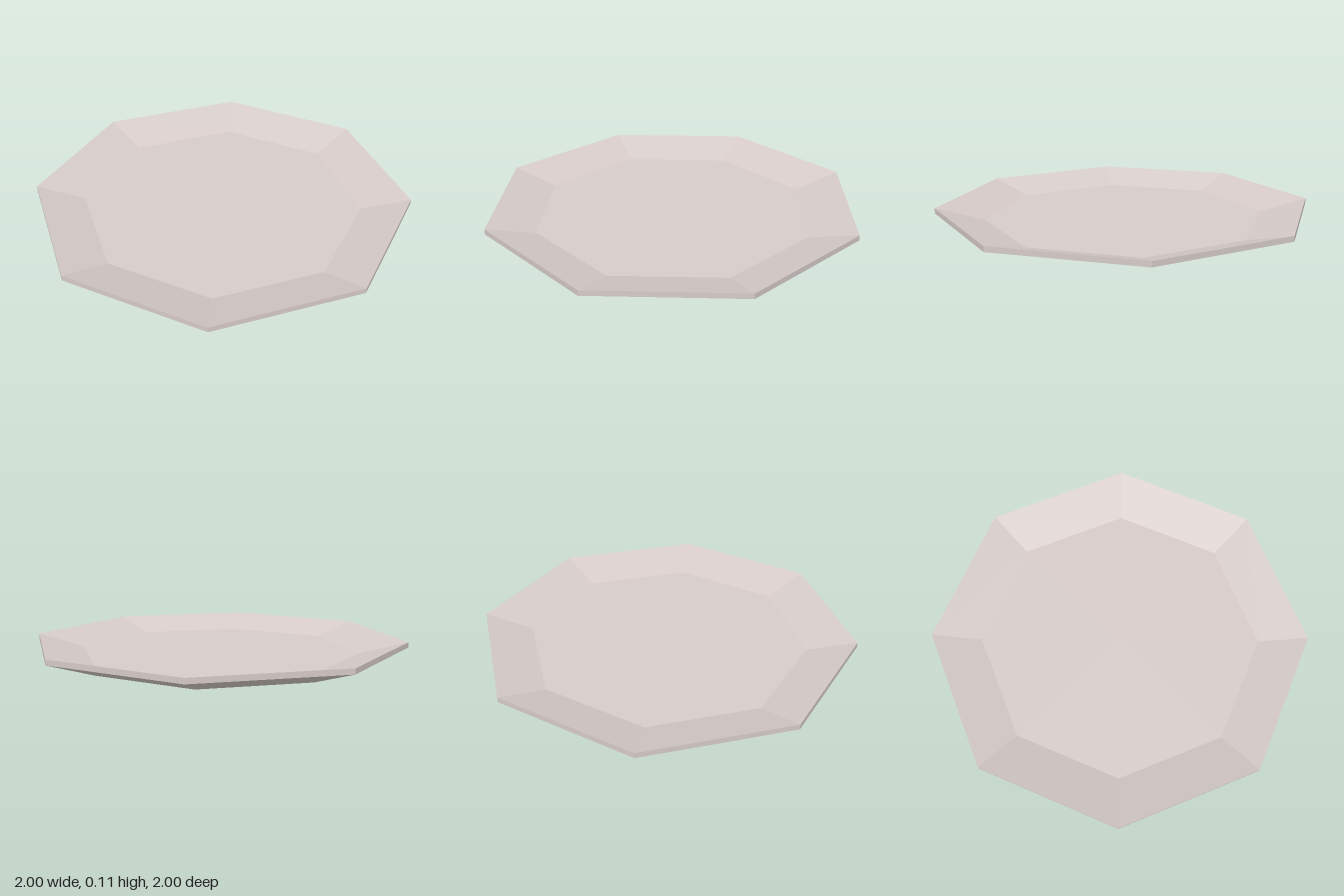
import * as THREE from 'three';

const SIDES = 8;

export function createModel() {
  const model = new THREE.Group();
  model.name = 'plate';

  const ceramic = new THREE.MeshStandardMaterial({ color: 0xd6cbc8, flatShading: true });
  ceramic.name = 'pale ceramic';

  // Closed cross-section: underside, sloping outer wall, rim edge, inner wall, floor
  const profile = [
    [0, 0],
    [0.745, 0],
    [1, 0.082],
    [1, 0.11],
    [0.745, 0.042],
    [0, 0.042],
  ].map(([r, y]) => new THREE.Vector2(r, y));

  // Eight-sided dish with a corner on each axis, faceted
  const geometry = new THREE.LatheGeometry(profile, SIDES).toNonIndexed();
  geometry.computeVertexNormals();

  const dish = new THREE.Mesh(geometry, ceramic);
  dish.name = 'dish';
  model.add(dish);

  return model;
}
